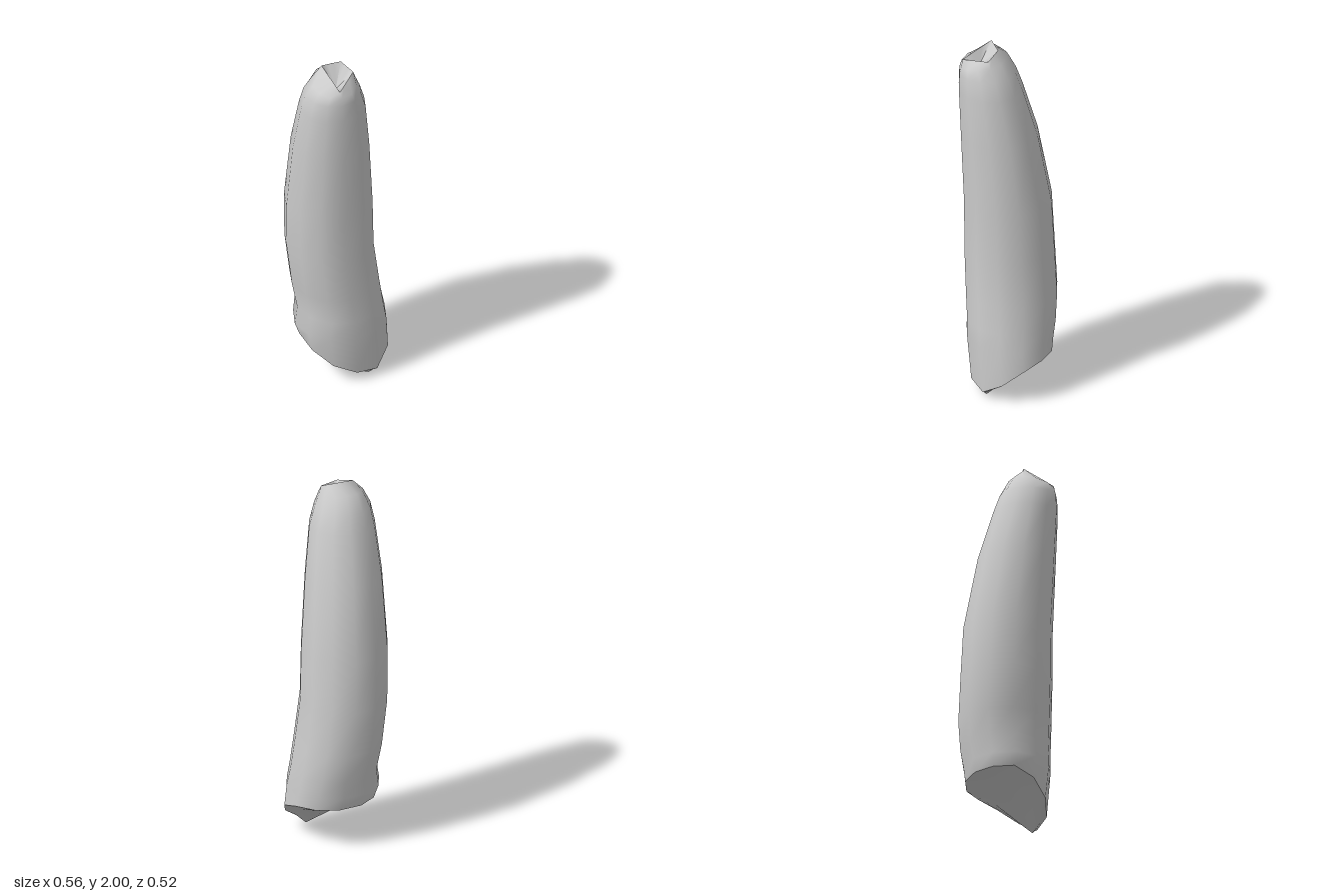
import * as THREE from 'three';

const SIDES = 12;
const material = new THREE.MeshStandardMaterial({ color: 0xcccccc, side: THREE.DoubleSide });

// Closed oval ring inside the given bounds; height(x, z) sets y for each corner.
function oval(x0, x1, z0, z1, height) {
  return Array.from({ length: SIDES }, (_, i) => {
    const a = (i / SIDES) * Math.PI * 2;
    const x = (x0 + x1) / 2 + Math.cos(a) * (x1 - x0) / 2;
    const z = (z0 + z1) / 2 + Math.sin(a) * (z1 - z0) / 2;
    return new THREE.Vector3(x, height(x, z), z);
  });
}

// Smooth skin through a stack of rings.
function skin(name, rings) {
  const index = [];
  for (let r = 0; r < rings.length - 1; r++) {
    for (let i = 0; i < SIDES; i++) {
      const a = r * SIDES + i, b = r * SIDES + (i + 1) % SIDES;
      index.push(a, a + SIDES, b, b, a + SIDES, b + SIDES);
    }
  }
  const geometry = new THREE.BufferGeometry().setFromPoints(rings.flat());
  geometry.setIndex(index);
  geometry.computeVertexNormals();
  const mesh = new THREE.Mesh(geometry, material);
  mesh.name = name;
  return mesh;
}

export function createModel() {
  const group = new THREE.Group();
  group.name = 'taperedStalk';

  // Slanted lower rim, rising away from the lowest point
  const foot = new THREE.Vector3(0.12, 0, 0.16);
  const rim = oval(-0.21, 0.28, -0.215, 0.22, (x, z) =>
    Math.min(0.23, 0.64 * Math.max(0, foot.z - z) + 0.45 * Math.abs(x - foot.x) + 0.02));

  // Four-cornered opening at the top, resampled to the ring count
  const corners = [[0.045, 1.96, 0.13], [-0.07, 1.93, 0.24], [-0.11, 2, 0.07], [0, 1.995, 0.065]]
    .map(p => new THREE.Vector3(...p));
  const step = SIDES / 4;
  const mouth = Array.from({ length: SIDES }, (_, i) => {
    const c = Math.floor(i / step);
    return corners[c].clone().lerp(corners[(c + 1) % 4], (i % step) / step);
  });

  // Body sections: y, x range, z range, tilt along z
  const body = [
    [0.30, -0.235, 0.268, -0.228, 0.237, 0],
    [0.40, -0.218, 0.25, -0.245, 0.237, 0],
    [0.55, -0.245, 0.23, -0.26, 0.237, 0],
    [0.80, -0.275, 0.197, -0.254, 0.237, 0],
    [1.08, -0.28, 0.19, -0.24, 0.237, 0],
    [1.48, -0.262, 0.157, -0.165, 0.252, 0],
    [1.75, -0.235, 0.122, -0.085, 0.262, 0],
    [1.85, -0.215, 0.09, -0.05, 0.258, 0],
    [1.92, -0.18, 0.06, 0, 0.247, -0.2],
  ].map(([y, x0, x1, z0, z1, tilt]) =>
    oval(x0, x1, z0, z1, (x, z) => y + tilt * (z - (z0 + z1) / 2)));
  group.add(skin('body', [rim, ...body, mouth]));

  // Hollowed underside between the lowest point and the rim
  const hollow = rim.map(p => {
    const q = p.clone().lerp(foot, 0.45);
    q.y += 0.15 * Math.hypot(q.x - foot.x, q.z - foot.z);
    return q;
  });
  group.add(skin('underside', [rim.map(() => foot), hollow, rim]));

  // Small pit inside the top opening
  const pit = new THREE.Vector3(-0.06, 1.89, 0.15);
  group.add(skin('tipPit', [mouth, mouth.map(() => pit)]));

  return group;
}
